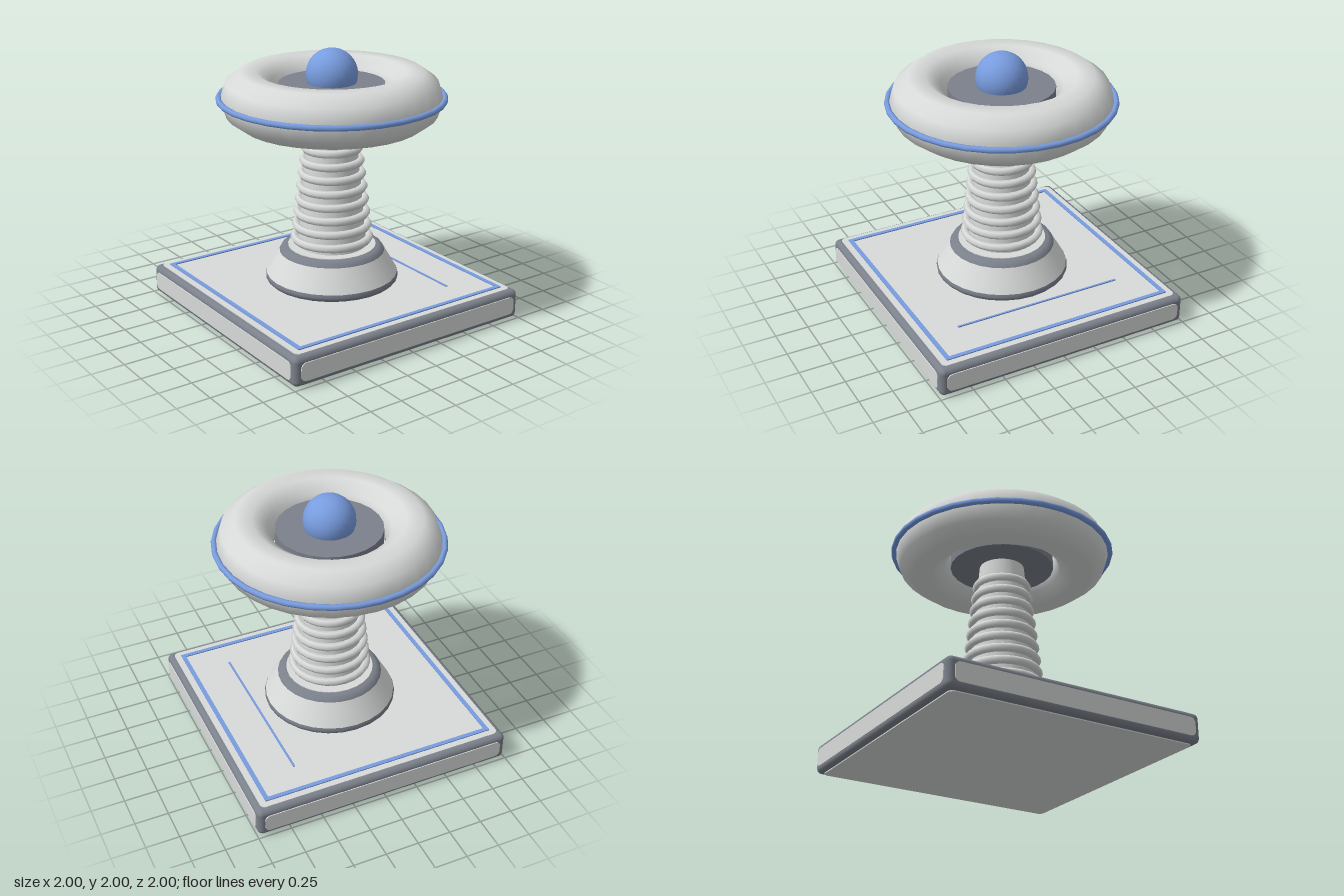
import * as THREE from 'three';
import { RoundedBoxGeometry } from 'three/addons/geometries/RoundedBoxGeometry.js';

const lightGrey = new THREE.MeshStandardMaterial({ name: 'light grey', color: 0xd8dada });
const darkGrey = new THREE.MeshStandardMaterial({ name: 'dark grey', color: 0x7b818b });
const blue = new THREE.MeshStandardMaterial({ name: 'blue', color: 0x789cdf });

function add(parent, name, geometry, material, x = 0, y = 0, z = 0) {
  const mesh = new THREE.Mesh(geometry, material);
  mesh.name = name;
  mesh.position.set(x, y, z);
  parent.add(mesh);
  return mesh;
}

// Flat plate with rounded corners, centred, its thickness running from z = 0 to depth
function roundedPlate(w, h, r, depth) {
  const s = new THREE.Shape();
  const x = w / 2, y = h / 2;
  s.moveTo(-x + r, -y);
  s.lineTo(x - r, -y);
  s.absarc(x - r, -y + r, r, -Math.PI / 2, 0);
  s.absarc(x - r, y - r, r, 0, Math.PI / 2);
  s.absarc(-x + r, y - r, r, Math.PI / 2, Math.PI);
  s.absarc(-x + r, -y + r, r, Math.PI, Math.PI * 1.5);
  return new THREE.ExtrudeGeometry(s, { depth, bevelEnabled: false, curveSegments: 5 });
}

function lathe(points, segments = 28) {
  return new THREE.LatheGeometry(points.map(([r, y]) => new THREE.Vector2(r, y)), segments);
}

function horizontalRing(radius, tube, sides, segments) {
  return new THREE.TorusGeometry(radius, tube, sides, segments).rotateX(-Math.PI / 2);
}

function buildBase() {
  const base = new THREE.Group();
  base.name = 'base';
  // Dark rounded frame with light panels on every face
  add(base, 'baseFrame', new RoundedBoxGeometry(1.986, 0.22, 1.986, 3, 0.04), darkGrey, 0, 0.118, 0);
  for (let i = 0; i < 4; i++) {
    const panel = roundedPlate(1.89, 0.135, 0.04, 0.009).translate(0, 0, 0.991);
    add(base, 'sidePanel', panel, lightGrey, 0, 0.118, 0).rotation.y = i * Math.PI / 2;
  }
  add(base, 'topPlate', roundedPlate(1.9, 1.9, 0.04, 0.009).rotateX(-Math.PI / 2), lightGrey, 0, 0.226, 0);
  add(base, 'bottomPlate', roundedPlate(1.9, 1.9, 0.04, 0.009).rotateX(Math.PI / 2), lightGrey, 0, 0.009, 0);
  // Blue inlay border and single line
  for (const s of [-1, 1]) {
    add(base, 'borderStrip', new THREE.BoxGeometry(1.8, 0.009, 0.032), blue, 0, 0.238, s * 0.886);
    add(base, 'borderStrip', new THREE.BoxGeometry(0.032, 0.009, 1.8), blue, s * 0.886, 0.238, 0);
  }
  add(base, 'inlayLine', new THREE.BoxGeometry(0.015, 0.009, 1.32), blue, 0.58, 0.238, 0);
  return base;
}

function buildColumn() {
  const column = new THREE.Group();
  column.name = 'column';
  // Flared foot with dark edges
  add(column, 'footRim', lathe([[0.48, 0.232], [0.497, 0.25], [0.5, 0.27], [0.493, 0.29]]), darkGrey);
  add(column, 'footCone', lathe([[0.493, 0.29], [0.395, 0.46]]), lightGrey);
  add(column, 'footShoulder', lathe([[0.395, 0.46], [0.38, 0.485], [0.355, 0.498], [0.32, 0.502]]), darkGrey);
  add(column, 'footTop', new THREE.CylinderGeometry(0.33, 0.33, 0.009, 28), lightGrey, 0, 0.502, 0);
  // Tapered neck with ribs
  add(column, 'neck', new THREE.CylinderGeometry(0.166, 0.26, 1.05, 24), lightGrey, 0, 1.025, 0);
  for (let i = 0; i < 9; i++) {
    add(column, 'neckRib', horizontalRing(0.28 - i * 0.0113, 0.031, 6, 24), lightGrey, 0, 0.565 + i * 0.1, 0);
  }
  return column;
}

function buildHead() {
  const head = new THREE.Group();
  head.name = 'head';
  add(head, 'headRing', horizontalRing(0.605, 0.204, 10, 32), lightGrey, 0, 1.641, 0);
  add(head, 'ringBand', horizontalRing(0.82, 0.022, 8, 32), blue, 0, 1.643, 0);
  add(head, 'hub', new THREE.CylinderGeometry(0.388, 0.388, 0.22, 24), darkGrey, 0, 1.64, 0);
  add(head, 'dome', new THREE.SphereGeometry(0.19, 24, 16), blue, 0, 1.81, 0);
  return head;
}

export function createModel() {
  const model = new THREE.Group();
  model.name = 'pedestal';
  model.add(buildBase(), buildColumn(), buildHead());
  return model;
}
